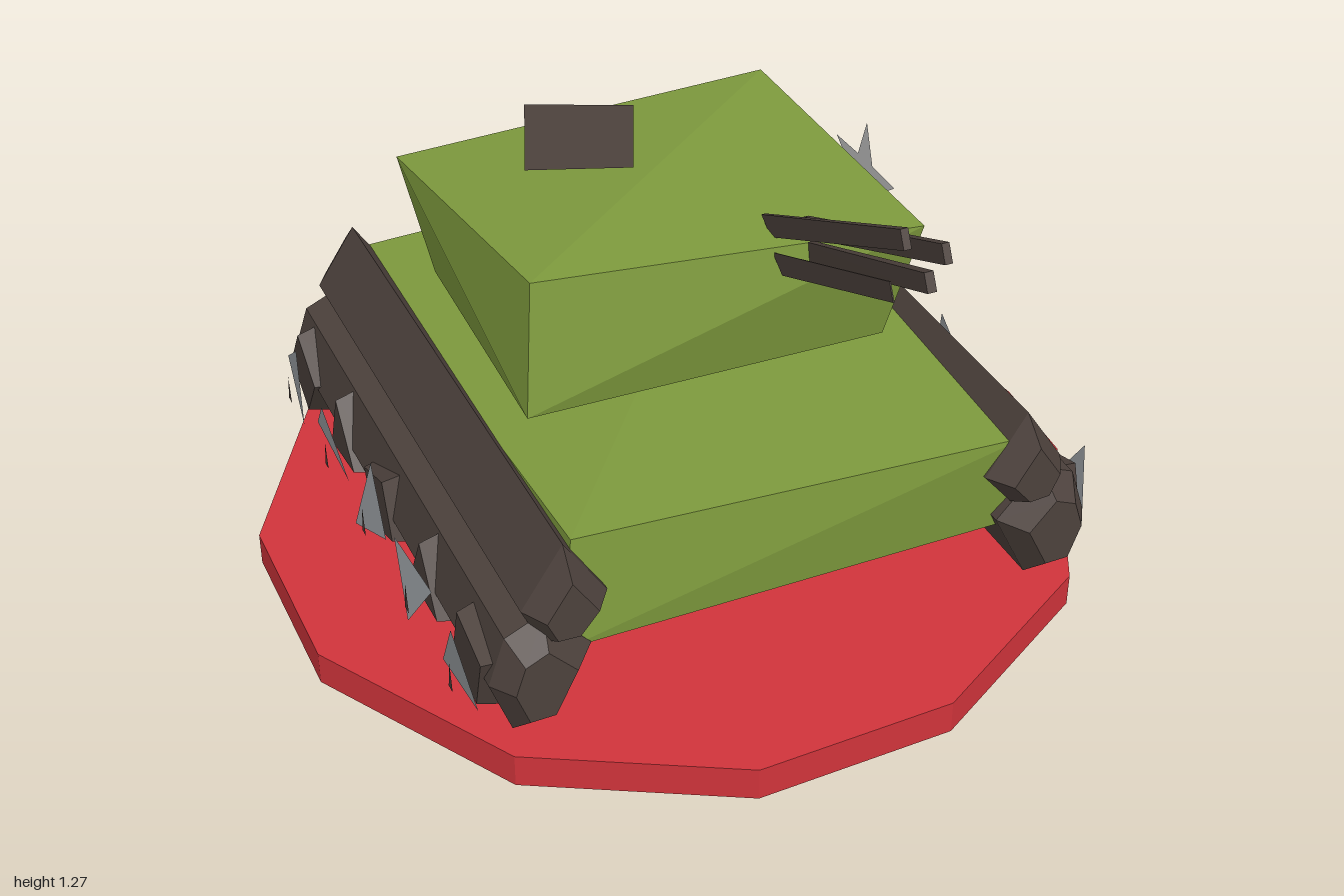
import * as THREE from 'three';
import { ConvexGeometry } from 'three/addons/geometries/ConvexGeometry.js';

const mat = (name, color, extra = {}) => {
  const m = new THREE.MeshStandardMaterial({ color, ...extra });
  m.name = name;
  return m;
};

const V = (p) => new THREE.Vector3(...p);

// Flat polygon from corner points in order
function plate(points) {
  const g = new THREE.BufferGeometry().setFromPoints(points.map(V));
  const index = [];
  for (let i = 1; i < points.length - 1; i++) index.push(0, i, i + 1);
  g.setIndex(index);
  const flat = g.toNonIndexed();
  flat.computeVertexNormals();
  return flat;
}

// Bevel-ended bar along z from an [x, y] cross-section
function trackBar(section) {
  const cx = section.reduce((s, p) => s + p[0], 0) / section.length;
  const cy = section.reduce((s, p) => s + p[1], 0) / section.length;
  const pts = [];
  for (const [z, k] of [[-0.76, 0.6], [-0.70, 1], [0.71, 1], [0.77, 0.6]]) {
    for (const [x, y] of section) pts.push(V([cx + (x - cx) * k, cy + (y - cy) * k, z]));
  }
  return new ConvexGeometry(pts);
}

export function createModel() {
  const model = new THREE.Group();
  const red = mat('baseRed', 0xd0343b);
  const green = mat('armourGreen', 0x7d993d);
  const brown = mat('trackBrown', 0x4c413c, { side: THREE.DoubleSide, flatShading: true });
  const grey = mat('hubGrey', 0x9ca1a5, { side: THREE.DoubleSide });
  const pale = mat('starGrey', 0xcacaca, { side: THREE.DoubleSide });

  const add = (name, geometry, material, parent = model) => {
    const mesh = new THREE.Mesh(geometry, material);
    mesh.name = name;
    parent.add(mesh);
    return mesh;
  };

  // Irregular many-sided base disc
  const rim = [[-0.25, -0.98], [0, -1], [0.28, -0.97], [0.71, -0.74], [0.97, -0.25], [1, 0], [0.98, 0.27],
    [0.73, 0.72], [0.25, 0.99], [-0.24, 1], [-0.71, 0.74], [-1, 0.24], [-1, -0.24], [-0.71, -0.74]];
  const disc = new THREE.ExtrudeGeometry(
    new THREE.Shape(rim.map(([x, z]) => new THREE.Vector2(x, z))), { depth: 0.085, bevelEnabled: false });
  disc.rotateX(Math.PI / 2).translate(0, 0.085, 0);
  add('base', disc, red);

  // Slightly twisted blocks for hull and turret
  add('hull', new ConvexGeometry([
    [-0.54, 0.59, 0.68], [0.57, 0.54, 0.71], [-0.57, 0.54, -0.71], [0.54, 0.59, -0.68],
    [-0.57, 0.32, 0.71], [0.54, 0.28, 0.68], [0.57, 0.32, -0.71], [-0.54, 0.28, -0.68]].map(V)), green);
  add('turret', new ConvexGeometry([
    [-0.46, 0.98, 0.28], [0.49, 0.92, 0.34], [-0.51, 0.92, -0.47], [0.44, 0.98, -0.41],
    [-0.50, 0.67, 0.34], [0.43, 0.605, 0.28], [0.48, 0.67, -0.475], [-0.45, 0.61, -0.41]].map(V)), green);

  // Hatch plate above the turret
  add('hatch', plate([[-0.32, 1.03, -0.1], [-0.09, 1.035, 0], [0.02, 1.05, -0.25], [-0.21, 1.04, -0.38]]), brown);

  // Thin gun blades rising forward: x, tip y, rear y, rear z, width
  const guns = [[0.14, 1.25, 0.95, 0.24, 0.018], [0.24, 1.19, 0.93, 0.26, 0.018],
    [0.205, 1.13, 0.90, 0.30, 0.022], [0.115, 1.13, 0.91, 0.34, 0.003]];
  for (const [x, tip, rear, z, w] of guns) {
    const pts = [];
    for (const s of [-1, 1]) {
      pts.push(V([x + s * w * 0.5, tip + 0.022, 0.83]), V([x + s * w * 0.5, tip - 0.018, 0.85]),
        V([x + s * w * 0.3, rear + 0.018, z - 0.03]), V([x + s * w * 0.3, rear - 0.015, z + 0.02]));
    }
    add('gunBarrel', new ConvexGeometry(pts), brown);
  }

  // Star plate beside the turret
  const star = new THREE.Shape();
  for (let i = 0; i < 10; i++) {
    const r = i % 2 ? 0.063 : 0.155, a = Math.PI / 2 + i * Math.PI / 5;
    star[i ? 'lineTo' : 'moveTo'](r * Math.cos(a), r * Math.sin(a));
  }
  const starGeo = new THREE.ShapeGeometry(star).rotateY(Math.PI / 2).translate(0.56, 0.815, -0.07);
  add('turretStar', starGeo, pale);

  // Tracks with wheels and hub plates, mirrored by sign
  const upper = [[0.57, 0.61], [0.47, 0.455], [0.545, 0.365], [0.63, 0.37], [0.67, 0.46]];
  const lower = [[0.62, 0.44], [0.71, 0.40], [0.75, 0.28], [0.70, 0.14], [0.60, 0.14], [0.51, 0.32]];
  // Hub triangles as [z, y] corners
  const hubs = [
    [[0.625, 0.39], [0.51, 0.21], [0.69, 0.20]],
    [[0.20, 0.33], [0.41, 0.32], [0.31, 0.17]],
    [[0.0, 0.40], [-0.07, 0.18], [0.13, 0.27]],
    [[-0.29, 0.38], [-0.40, 0.26], [-0.21, 0.20]],
    [[-0.55, 0.38], [-0.70, 0.27], [-0.48, 0.20]]];
  const wheelZ = [0.60, 0.31, 0.0, -0.29, -0.60];
  for (const s of [-1, 1]) {
    const side = new THREE.Group();
    side.name = s > 0 ? 'leftTrack' : 'rightTrack';
    model.add(side);
    const flip = (list) => list.map(([x, y]) => [s * x, y]);
    add('upperTrack', trackBar(flip(upper)), brown, side);
    add('lowerTrack', trackBar(flip(lower)), brown, side);
    wheelZ.forEach((z, i) => {
      const wheel = new THREE.CylinderGeometry(0.105, 0.135, 0.11, i % 2 ? 3 : 4);
      wheel.rotateY(0.5 + i * 1.1).rotateZ(-s * Math.PI / 2).translate(s * 0.705, 0.275, z);
      add('wheel', wheel, brown, side);
      const tilt = [0.80, 0.785, 0.77];
      add('hubPlate', plate(hubs[i].map(([hz, hy], k) => [s * tilt[(k + i) % 3], hy, hz])), grey, side);
      add('hubPin', plate([[s * 0.80, 0.275, z], [s * 0.80, 0.2, z - 0.014], [s * 0.80, 0.2, z + 0.012]]), brown, side);
    });
  }
  return model;
}
